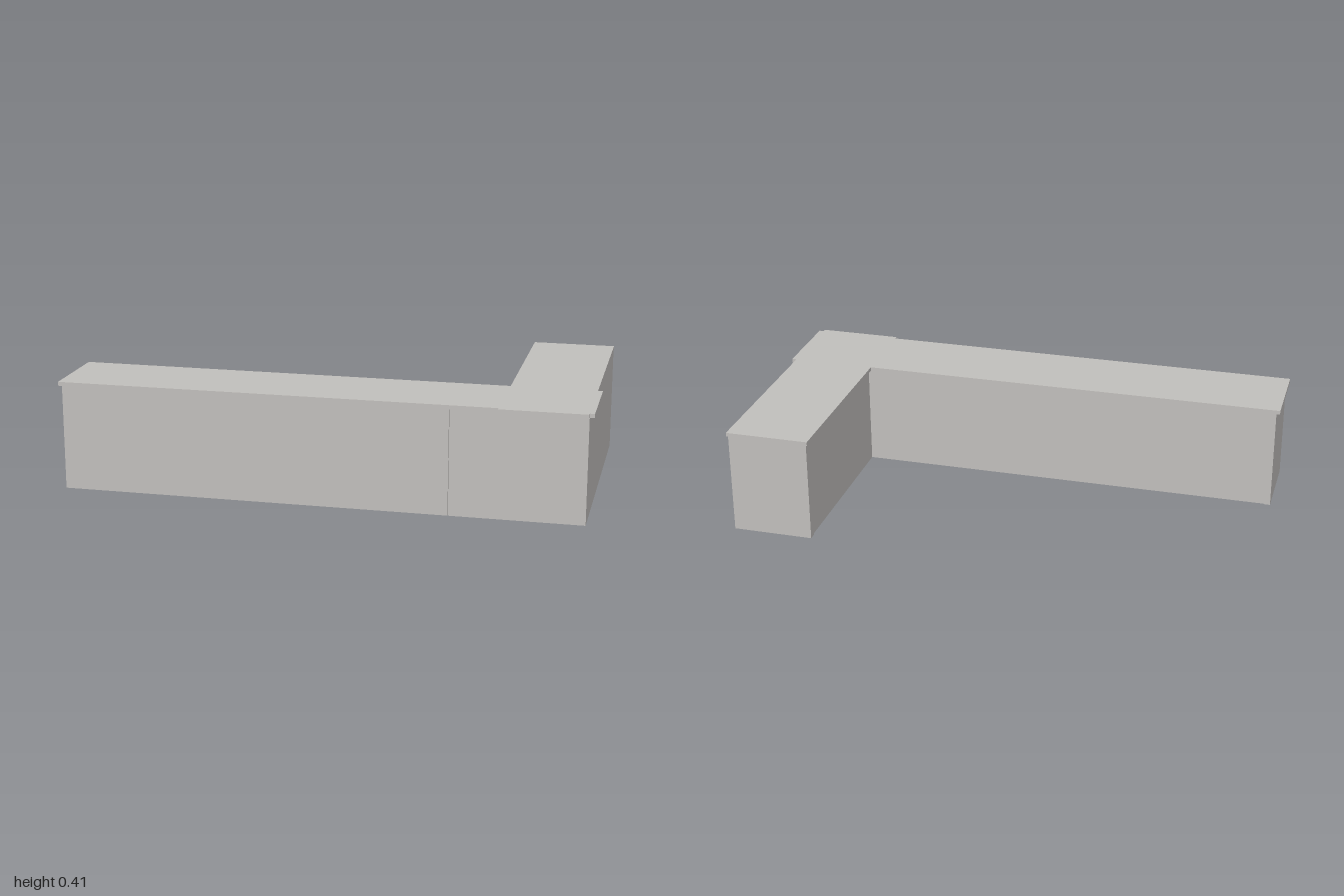
import * as THREE from 'three';

export function createModel() {
  const model = new THREE.Group();
  model.name = 'cornerCounter';
  const grey = new THREE.MeshStandardMaterial({ color: 0xc0bebb });
  grey.name = 'warm grey';

  // Box given by its limits on each axis
  function block(name, x0, x1, y0, y1, z0, z1) {
    const mesh = new THREE.Mesh(new THREE.BoxGeometry(x1 - x0, y1 - y0, z1 - z0), grey);
    mesh.position.set((x0 + x1) / 2, (y0 + y1) / 2, (z0 + z1) / 2);
    mesh.name = name;
    model.add(mesh);
  }

  const height = 0.4, front = 0.513, back = 0.21, inner = 0.675, outer = 0.982;

  // Long run: end panel, two cabinets and the corner cabinet after a narrow joint
  const longRun = [
    ['longEndPanel', -0.985, -0.96, back - 0.004],
    ['longCabinet1', -0.96, -0.29, back],
    ['longCabinet2', -0.29, 0.483, back],
    ['jointBacking', 0.483, 0.487, back],
    ['cornerCabinet', 0.487, outer, back],
  ];
  for (const [name, x0, x1, z0] of longRun) {
    const z1 = name === 'jointBacking' ? front - 0.01 : front;
    block(name, x0, x1, 0, height, z0, z1);
  }

  // Short run: corner filler, cabinets and end panel going back
  const shortRun = [
    ['cornerFiller', 0.185, back, inner],
    ['shortCabinet1', -0.04, 0.185, inner],
    ['shortCabinet2', -0.485, -0.04, inner],
    ['shortEndPanel', -0.513, -0.485, inner - 0.004],
  ];
  for (const [name, z0, z1, x0] of shortRun) block(name, x0, outer, 0, height, z0, z1);

  // One L-shaped worktop, with small steps where the two slabs cross
  const outline = [
    [-1, 0.195], [0.66, 0.195], [0.66, -0.53], [0.982, -0.53], [0.982, 0.195], [1, 0.195],
    [1, 0.513], [0.982, 0.513], [0.982, 0.528], [0.66, 0.528], [0.66, 0.513], [-1, 0.513],
  ];
  const shape = new THREE.Shape(outline.map(([x, z]) => new THREE.Vector2(x, -z)));
  const slab = new THREE.ExtrudeGeometry(shape, { depth: 0.015, bevelEnabled: false });
  slab.rotateX(-Math.PI / 2);
  const worktop = new THREE.Mesh(slab, grey);
  worktop.position.y = height;
  worktop.name = 'worktop';
  model.add(worktop);

  return model;
}
